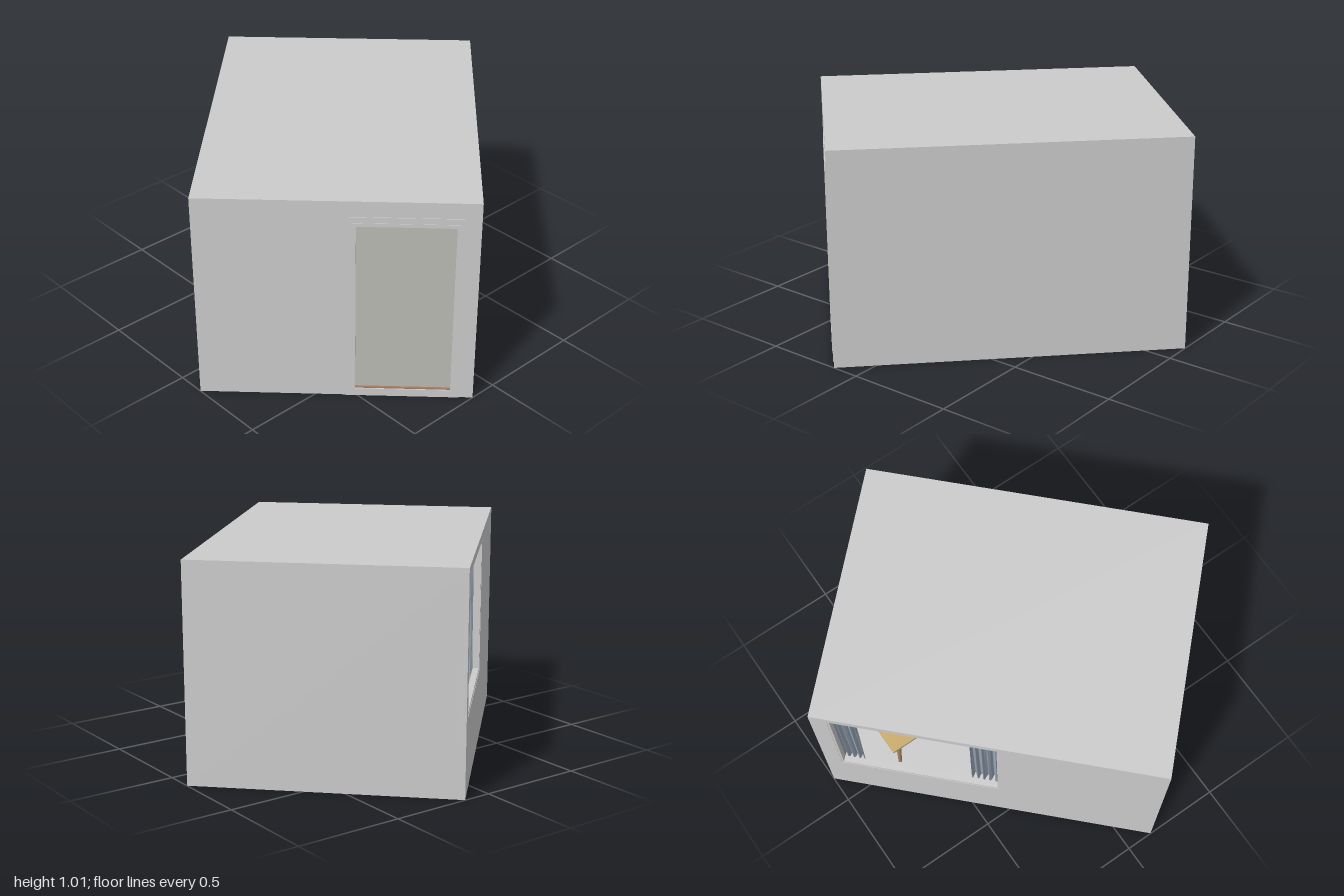
import * as THREE from 'three';

const mat = (color, side = THREE.FrontSide) => new THREE.MeshStandardMaterial({ color, side });
const GREY = mat(0xcccccc), DOOR = mat(0xbcbcb6), WOOD = mat(0xc9ab6c), BROWN = mat(0xa07a5c);
const MATTRESS = mat(0x6678b8), QUILT = mat(0xabb0de, THREE.DoubleSide), CURTAIN = mat(0x9aa8b8, THREE.DoubleSide);
const W = 1.6, H = 1.015, D = 1.226, T = 0.02;

function add(parent, name, geometry, material, x = 0, y = 0, z = 0) {
  const mesh = new THREE.Mesh(geometry, material);
  mesh.name = name;
  mesh.position.set(x, y, z);
  parent.add(mesh);
  return mesh;
}
const box = (parent, name, material, w, h, d, x, y, z) =>
  add(parent, name, new THREE.BoxGeometry(w, h, d), material, x, y, z);

// Flat panel from a rectangle [x0, y0, x1, y1] with one optional rectangular hole
function panel(outer, hole, depth) {
  const corners = ([a, b, c, d]) => [[a, b], [c, b], [c, d], [a, d]].map(p => new THREE.Vector2(...p));
  const shape = new THREE.Shape(corners(outer));
  if (hole) shape.holes.push(new THREE.Path(corners(hole).reverse()));
  return new THREE.ExtrudeGeometry(shape, { depth, bevelEnabled: false });
}

// Sheet whose height follows a rule of its local u, v in 0..1
function sheet(w, d, rule) {
  const g = new THREE.PlaneGeometry(w, d, 40, 40).rotateX(-Math.PI / 2);
  const p = g.attributes.position;
  for (let i = 0; i < p.count; i++) {
    p.setY(i, rule(p.getX(i) / w + 0.5, p.getZ(i) / d + 0.5));
  }
  g.computeVertexNormals();
  return g;
}

function makeShell() {
  const g = new THREE.Group();
  g.name = 'roomShell';
  box(g, 'floor', GREY, W, T, D, 0, T / 2, 0);
  box(g, 'roof', GREY, W, T, D, 0, H - T / 2, 0);
  box(g, 'longWall', GREY, W, H - 2 * T, T, 0, H / 2, D / 2 - T / 2);
  box(g, 'endWall', GREY, T, H - 2 * T, D - 2 * T, W / 2 - T / 2, H / 2, 0);
  add(g, 'windowWall', panel([-W / 2, T, W / 2, H - T], [-0.046, 0.345, 0.72, 0.98], T), GREY, 0, 0, -D / 2);
  const doorWall = add(g, 'doorWall', panel([-D / 2 + T, T, D / 2 - T, H - T], [0.085, 0.04, 0.51, 0.895], T), GREY, -W / 2 + T);
  doorWall.rotation.y = -Math.PI / 2;
  return g;
}

function makeDoor() {
  const g = new THREE.Group();
  g.name = 'door';
  g.position.x = -W / 2;
  g.rotation.y = -Math.PI / 2;
  add(g, 'doorTrim', panel([0.035, 0, 0.55, 0.94], [0.085, 0.04, 0.51, 0.895], 0.003), GREY);
  add(g, 'innerTrim', panel([0.07, 0.03, 0.525, 0.912], [0.085, 0.04, 0.51, 0.895], 0.005), GREY);
  box(g, 'doorLeaf', DOOR, 0.425, 0.855, 0.008, 0.2975, 0.4675, -0.016);
  box(g, 'threshold', BROWN, 0.425, 0.004, 0.012, 0.2975, 0.042, -0.006);
  return g;
}

function makeWindow() {
  const g = new THREE.Group();
  g.name = 'window';
  add(g, 'windowFrame', panel([-0.046, 0.345, 0.72, 0.98], [-0.036, 0.36, 0.71, 0.97], 0.03), GREY, 0, 0, -D / 2 + 0.002);
  const rod = add(g, 'curtainRod', new THREE.CylinderGeometry(0.007, 0.007, 0.84, 12), GREY, 0.337, 0.965, -0.545);
  rod.rotation.z = Math.PI / 2;
  // Pleated curtains, gathered at both sides
  for (const [name, x, w] of [['leftCurtain', 0.68, 0.13], ['rightCurtain', 0.02, 0.15]]) {
    const c = new THREE.PlaneGeometry(w, 0.65, 64, 8);
    const p = c.attributes.position;
    for (let i = 0; i < p.count; i++) {
      const u = p.getX(i) / w, drop = 0.5 - p.getY(i) / 0.65;
      p.setZ(i, (0.012 + 0.005 * drop) * Math.sin(u * 32 + drop) + 0.004 * Math.sin(u * 71 + 2 * drop));
    }
    c.computeVertexNormals();
    add(g, name, c, CURTAIN, x, 0.645, -0.56);
  }
  return g;
}

function makeBed() {
  const g = new THREE.Group();
  g.name = 'bed';
  box(g, 'bedBase', BROWN, 0.86, 0.16, 0.6, 0.34, 0.1, 0.27);
  box(g, 'bedLedge', WOOD, 0.88, 0.025, 0.64, 0.34, 0.19, 0.27);
  box(g, 'mattress', MATTRESS, 0.82, 0.12, 0.48, 0.34, 0.26, 0.33);
  // Two overlapping rumpled quilts whose edges fall over the mattress
  const rumple = seed => (u, v) => {
    const edge = Math.min(u, 1 - u, v, 1 - v);
    const fold = Math.sin(u * 9 + v * 4 + seed) + 0.7 * Math.sin(v * 13 - u * 5 + seed * 2) + 0.4 * Math.sin(u * 21 + v * 17);
    return 0.02 + 0.008 * fold + 0.035 * (1 - v) - 0.05 * Math.max(0, 1 - edge / 0.08) ** 2;
  };
  const right = add(g, 'rightQuilt', sheet(0.34, 0.44, rumple(1)), QUILT, 0.2, 0.335, 0.3);
  right.rotation.y = 0.12;
  add(g, 'leftQuilt', sheet(0.4, 0.46, rumple(3.2)), QUILT, 0.53, 0.355, 0.3);
  // Soft pillows along the far wall
  for (const x of [0.2, 0.52]) {
    const pillow = add(g, 'pillow', new THREE.SphereGeometry(1, 24, 16), QUILT, x, 0.39, 0.51);
    pillow.scale.set(0.15, 0.07, 0.06);
    pillow.rotation.x = -0.3;
  }
  return g;
}

function makeTable() {
  const g = new THREE.Group();
  g.name = 'table';
  g.position.set(0.49, 0, -0.3);
  g.rotation.y = Math.PI / 4;
  box(g, 'tableTop', WOOD, 0.31, 0.018, 0.31, 0, 0.325, 0);
  for (const x of [-1, 1]) for (const z of [-1, 1]) {
    const leg = add(g, 'tableLeg', new THREE.CylinderGeometry(0.014, 0.009, 0.3, 10), BROWN, x * 0.105, 0.168, z * 0.105);
    leg.rotation.set(-z * 0.1, 0, x * 0.1);
  }
  return g;
}

export function createModel() {
  const model = new THREE.Group();
  model.name = 'room';
  const turned = new THREE.Group();
  turned.name = 'turnedRoom';
  turned.rotation.y = Math.PI / 4;
  turned.add(makeShell(), makeDoor(), makeWindow(), makeBed(), makeTable());
  model.add(turned);
  return model;
}
